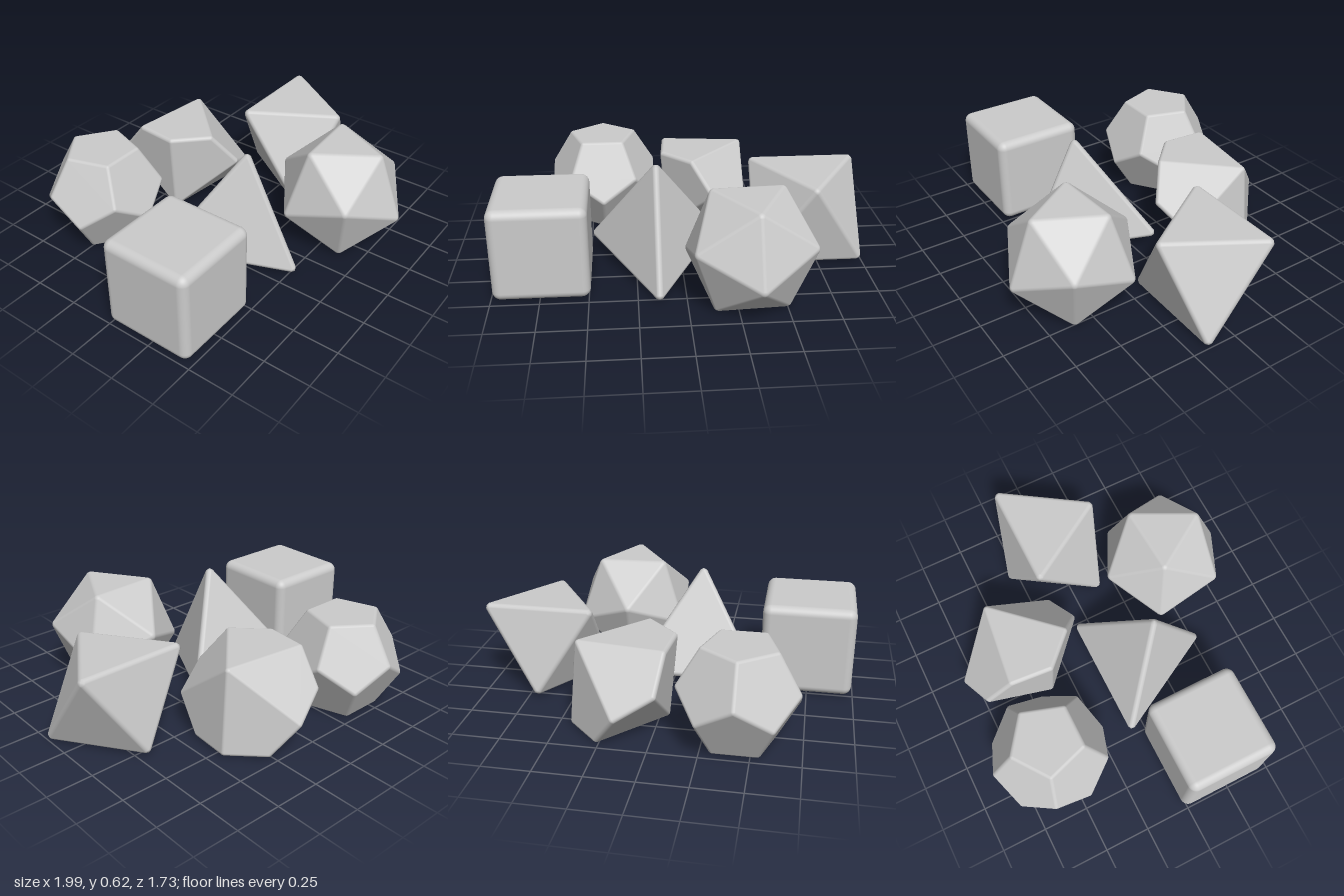
import * as THREE from 'three';
import { ConvexGeometry } from 'three/addons/geometries/ConvexGeometry.js';
import { RoundedBoxGeometry } from 'three/addons/geometries/RoundedBoxGeometry.js';

const V = (x, y, z) => new THREE.Vector3(x, y, z);
const material = new THREE.MeshStandardMaterial({ color: 0xcccccc });

// n corners on a level circle; angle 0 points to the front
function ring(n, radius, y, angle = 0) {
  return Array.from({ length: n }, (_, i) => {
    const a = angle + (i * 2 * Math.PI) / n;
    return V(radius * Math.sin(a), y, radius * Math.cos(a));
  });
}

// Convex solid over the given core corners, swollen by r so edges and corners are round
function roundedSolid(core, r) {
  const hull = new ConvexGeometry(core);
  const pos = hull.attributes.position, nor = hull.attributes.normal;
  const points = [];
  const add = (corner, n) => {
    const p = corner.clone().addScaledVector(n, r);
    if (!points.some((q) => q.p.distanceTo(p) < 1e-4)) points.push({ p, n });
  };
  for (const corner of core) {
    // Normals of the faces that meet at this corner
    const normals = [];
    for (let i = 0; i < pos.count; i++) {
      if (V().fromBufferAttribute(pos, i).distanceTo(corner) > 1e-4) continue;
      const n = V().fromBufferAttribute(nor, i).normalize();
      if (!normals.some((m) => m.dot(n) > 0.9995)) normals.push(n);
    }
    normals.forEach((n) => add(corner, n));
    // Arcs between the faces, and the tip of the corner
    normals.forEach((a, i) => normals.slice(i + 1).forEach((b) => {
      for (const t of [0.25, 0.5, 0.75]) add(corner, a.clone().lerp(b, t).normalize());
    }));
    add(corner, normals.reduce((s, n) => s.add(n), V()).normalize());
  }
  // Flat faces keep their own normal, rounded edges blend between them
  const geo = new ConvexGeometry(points.map((q) => q.p));
  const p = geo.attributes.position, v = V();
  for (let i = 0; i < p.count; i++) {
    v.fromBufferAttribute(p, i);
    let best = points[0], d = Infinity;
    for (const q of points) {
      const e = q.p.distanceToSquared(v);
      if (e < d) { d = e; best = q; }
    }
    geo.attributes.normal.setXYZ(i, best.n.x, best.n.y, best.n.z);
  }
  return geo;
}

export function createModel() {
  const group = new THREE.Group();
  const addDie = (name, geometry, x, y, z) => {
    const mesh = new THREE.Mesh(geometry, material);
    mesh.name = name;
    mesh.position.set(x, y, z);
    group.add(mesh);
    return mesh;
  };

  // Six-sided die
  addDie('sixSidedDie', new RoundedBoxGeometry(0.5, 0.5, 0.5, 5, 0.045), -0.74, 0.27, 0.23);

  // Four-sided die, leaning slightly forward
  addDie('fourSidedDie', roundedSolid([
    V(-0.325, 0.12, -0.075), V(0.325, 0.12, -0.075), V(0, 0.04, 0.505), V(0, 0.617, 0.205),
  ], 0.022), -0.14, 0, 0);

  // Eight-sided die: two opposed triangles
  const octa = [];
  for (const s of [1, -1]) {
    octa.push(V(-0.272, s * 0.215, s * -0.172), V(0.272, s * 0.215, s * -0.172), V(0, s * 0.215, s * 0.255));
  }
  addDie('eightSidedDie', roundedSolid(octa, 0.026), 0.7, 0.262, -0.02).rotation.x = 0.025;

  // Ten-sided die: two poles and a zigzag belt, lying on one kite face
  const rho = 0.335, h = 0.308, e = h * Math.tan(Math.PI / 10) ** 2;
  const deca = [V(0, h, 0), V(0, -h, 0), ...ring(5, rho, -e, 0), ...ring(5, rho, e, Math.PI / 5)];
  const decaGeo = roundedSolid(deca, 0.02);
  decaGeo.rotateX(-Math.atan2(h + e, rho)).rotateY(-1.22);
  addDie('tenSidedDie', decaGeo, 0.174, 0.253, -0.453);

  // Twelve-sided die: four rings of five
  const a = 0.2155;
  const dodeca = [
    ...ring(5, 0.8507 * a, 1.1135 * a, Math.PI), ...ring(5, 1.3764 * a, 0.2629 * a, Math.PI),
    ...ring(5, 1.3764 * a, -0.2629 * a), ...ring(5, 0.8507 * a, -1.1135 * a),
  ];
  addDie('twelveSidedDie', roundedSolid(dodeca, 0.021), -0.425, 0.28, -0.553);

  // Twenty-sided die: four rings of three
  const b = 0.341, turn = Math.PI / 3;
  const icosa = [
    ...ring(3, 0.5774 * b, 0.7558 * b), ...ring(3, 0.9342 * b, 0.1784 * b, turn),
    ...ring(3, 0.9342 * b, -0.1784 * b), ...ring(3, 0.5774 * b, -0.7558 * b, turn),
  ];
  addDie('twentySidedDie', roundedSolid(icosa, 0.03), 0.315, 0.302, 0.512).rotation.y = 0.055;

  return group;
}
